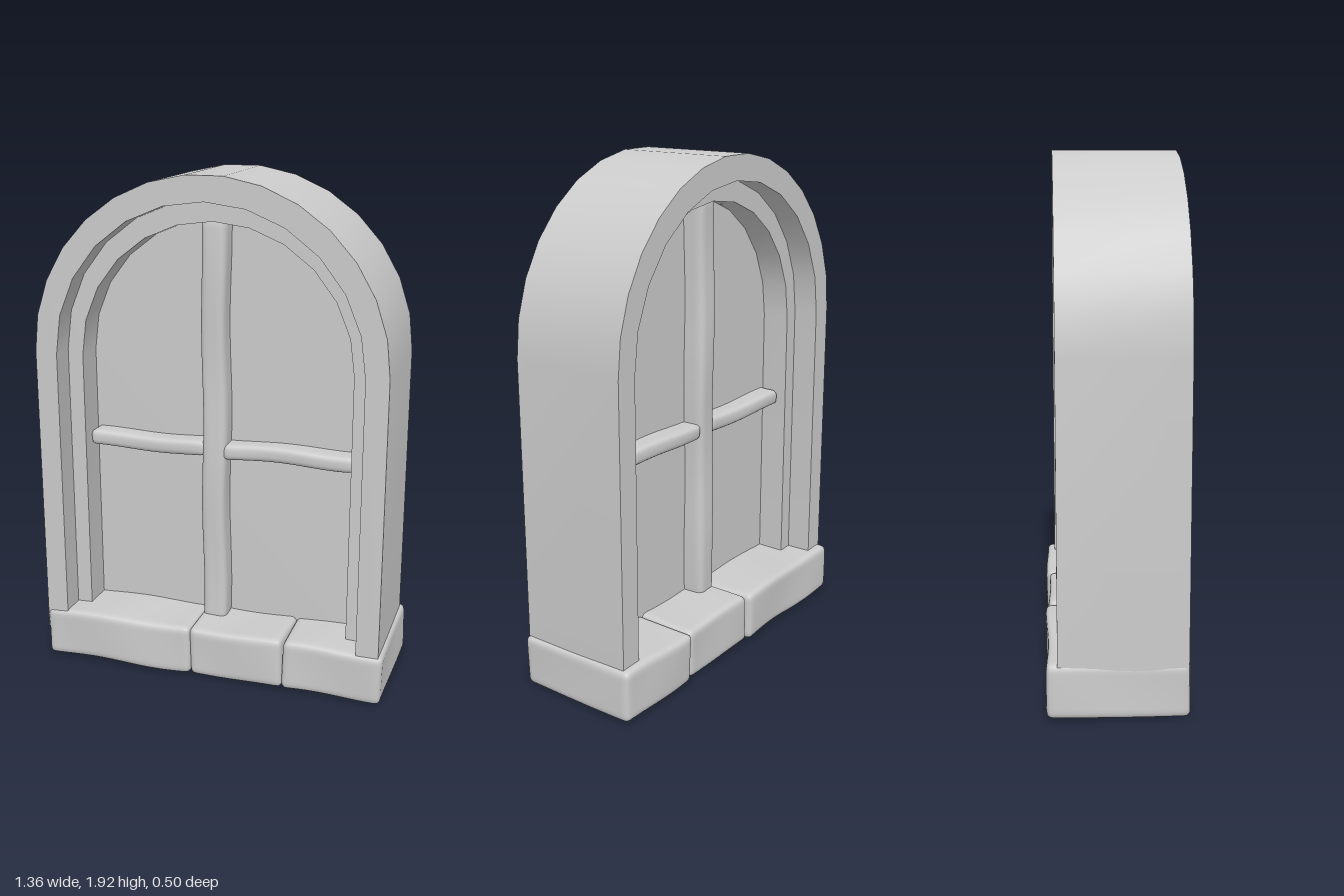
import * as THREE from 'three';
import { mergeVertices, toCreasedNormals } from 'three/addons/utils/BufferGeometryUtils.js';

const material = new THREE.MeshStandardMaterial({ color: 0xcccccc });
const CX = -0.0075; // centre line of the arch
const FOOT = 0.2;   // frame ends inside the sill

// Arch outline from right foot over the top to left foot
function archPoints(radius, springY, segments) {
  const points = [new THREE.Vector2(CX + radius, FOOT)];
  for (let i = 0; i <= segments; i++) {
    const a = (Math.PI * i) / segments;
    points.push(new THREE.Vector2(CX + radius * Math.cos(a), springY + radius * Math.sin(a)));
  }
  points.push(new THREE.Vector2(CX - radius, FOOT));
  return points;
}

// Extrude an outline between two depths
function slab(name, points, zBack, zFront) {
  const geometry = new THREE.ExtrudeGeometry(new THREE.Shape(points), {
    depth: zFront - zBack, bevelEnabled: false,
  });
  geometry.translate(0, 0, zBack);
  const mesh = new THREE.Mesh(toCreasedNormals(geometry, 0.6), material);
  mesh.name = name;
  return mesh;
}

// Hand-cut block: rounded edges and a gentle wobble
function roughBlock(name, min, max, radius, wobble, seed) {
  const size = max.map((v, i) => v - min[i]);
  const segs = size.map((s) => Math.min(60, Math.max(6, Math.round(s / 0.0125))));
  let geometry = new THREE.BoxGeometry(...size, ...segs);
  geometry.deleteAttribute('normal');
  geometry.deleteAttribute('uv');
  geometry = mergeVertices(geometry, 1e-5);
  const pos = geometry.attributes.position;
  const inner = new THREE.Vector3(...size).multiplyScalar(0.5).subScalar(radius);
  const p = new THREE.Vector3();
  const core = new THREE.Vector3();
  for (let i = 0; i < pos.count; i++) {
    p.fromBufferAttribute(pos, i);
    core.copy(p).clamp(inner.clone().negate(), inner);
    p.sub(core).setLength(radius).add(core);
    const { x, y, z } = p;
    p.x += wobble * Math.sin(9 * y + 7 * z + seed);
    p.y += wobble * Math.sin(13 * x + 6 * z + seed * 2);
    p.z += wobble * Math.sin(11 * x + 8 * y + seed * 3);
    pos.setXYZ(i, p.x, p.y, p.z);
  }
  geometry.translate(...min.map((v, i) => (v + max[i]) / 2));
  geometry.computeVertexNormals();
  const mesh = new THREE.Mesh(geometry, material);
  mesh.name = name;
  return mesh;
}

export function createModel() {
  const model = new THREE.Group();
  model.name = 'archedWindow';

  // Stepped frame: deep outer rim, shallower inner band, thin pane
  const outer = archPoints(0.668, 1.335, 15);
  const middle = archPoints(0.583, 1.327, 12);
  const inner = archPoints(0.523, 1.308, 12);
  const ring = (a, b) => [...a, ...b.slice().reverse()];
  model.add(
    slab('outerRim', ring(outer, middle), -0.215, 0.235),
    slab('innerBand', ring(middle, inner), -0.115, 0.135),
    slab('pane', inner, -0.005, 0.015),
  );

  // Glazing bars
  model.add(
    roughBlock('mullion', [-0.073, 0.24, -0.085], [0.021, 1.85, 0.095], 0.025, 0.004, 1),
    roughBlock('crossBarLeft', [-0.535, 0.932, -0.08], [-0.06, 0.992, 0.09], 0.02, 0.004, 2),
    roughBlock('crossBarRight', [0.01, 0.932, -0.08], [0.52, 0.992, 0.09], 0.02, 0.004, 4),
  );

  // Sill of three stones
  const stones = [[-0.68, -0.078, -0.25, 0.245], [-0.076, 0.294, -0.24, 0.24], [0.296, 0.677, -0.248, 0.242]];
  const sill = new THREE.Group();
  sill.name = 'sill';
  stones.forEach(([x0, x1, z0, z1], i) => {
    sill.add(roughBlock('sillStone' + (i + 1), [x0, 0.086, z0], [x1, 0.281, z1], 0.022, 0.004, i * 1.7 + 0.5));
  });
  model.add(sill);

  return model;
}
